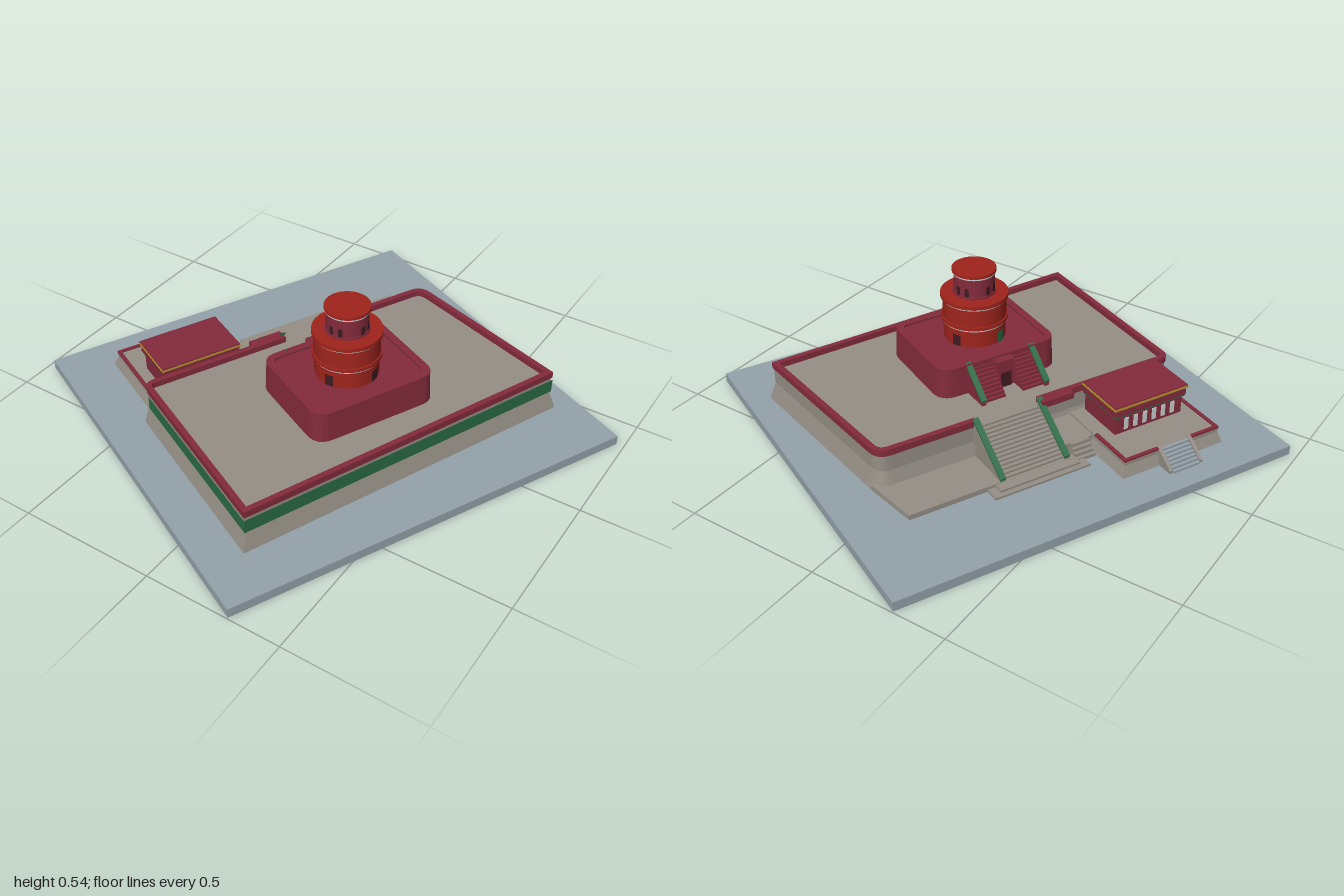
import * as THREE from 'three';

const mat = (name, color) => Object.assign(new THREE.MeshStandardMaterial({ color }), { name });
const M = {
  slate: mat('slate ground', 0x94a2aa), stone: mat('warm stone', 0x958f86),
  crimson: mat('crimson wall', 0x842b3c), red: mat('bright red', 0x9f241c),
  green: mat('green tile', 0x2b6b45), pale: mat('pale trim', 0xc9cfcd),
  gold: mat('gold trim', 0xb8922e), dark: mat('dark opening', 0x3f1a20),
};

export function createModel() {
  const root = new THREE.Group();
  root.name = 'terracedTemple';
  const g = new THREE.Group();
  g.name = 'compound';
  g.rotation.y = -0.4503;
  root.add(g);

  const add = (name, geo, material, x = 0, y = 0, z = 0) => {
    const m = new THREE.Mesh(geo, material);
    m.name = name;
    m.position.set(x, y, z);
    g.add(m);
    return m;
  };
  // box given by its limits
  const box = (name, m, x0, x1, y0, y1, z0, z1) =>
    add(name, new THREE.BoxGeometry(x1 - x0, y1 - y0, z1 - z0), m, (x0 + x1) / 2, (y0 + y1) / 2, (z0 + z1) / 2);
  // plan outlines are [x, z] lists
  const rect = (x0, x1, z0, z1, r = 0) => [[x0, z1, r], [x1, z1, r], [x1, z0, r], [x0, z0, r]];
  const fillet = (pts) => pts.flatMap(([x, z, r = 0], i) => {
    if (!r) return [[x, z]];
    const toward = (q) => {
      const d = Math.hypot(q[0] - x, q[1] - z);
      return new THREE.Vector2(x + (q[0] - x) * r / d, z + (q[1] - z) * r / d);
    };
    const a = toward(pts.at(i - 1)), b = toward(pts[(i + 1) % pts.length]);
    return new THREE.QuadraticBezierCurve(a, new THREE.Vector2(x, z), b).getPoints(6).map((p) => [p.x, p.y]);
  });
  // moves an outline outward by d
  const offset = (pts, d) => pts.map(([x, z], i) => {
    const p = pts.at(i - 1), q = pts[(i + 1) % pts.length];
    const n = (a, b) => {
      const l = Math.hypot(b[0] - a[0], b[1] - a[1]);
      return [-(b[1] - a[1]) / l, (b[0] - a[0]) / l];
    };
    const m = n(p, [x, z]), k = n([x, z], q);
    const s = d / (1 + m[0] * k[0] + m[1] * k[1]);
    return [x + (m[0] + k[0]) * s, z + (m[1] + k[1]) * s];
  });
  const v2 = (pts) => pts.map(([x, z]) => new THREE.Vector2(x, -z));
  const prism = (name, m, pts, y0, y1, hole) => {
    const s = new THREE.Shape(v2(pts));
    if (hole) s.holes.push(new THREE.Path(v2(hole)));
    const geo = new THREE.ExtrudeGeometry(s, { depth: y1 - y0, bevelEnabled: false });
    geo.rotateX(-Math.PI / 2);
    return add(name, geo, m, 0, y0, 0);
  };
  // wall skin between a lower and an upper outline
  const skin = (name, m, low, high, y0, y1, closed = true) => {
    const pos = [], n = low.length;
    for (let i = 0; i < (closed ? n : n - 1); i++) {
      const j = (i + 1) % n;
      const a = [low[i][0], y0, low[i][1]], b = [low[j][0], y0, low[j][1]];
      const c = [high[j][0], y1, high[j][1]], d = [high[i][0], y1, high[i][1]];
      pos.push(...a, ...b, ...c, ...a, ...c, ...d);
    }
    const geo = new THREE.BufferGeometry();
    geo.setAttribute('position', new THREE.Float32BufferAttribute(pos, 3));
    geo.computeVertexNormals();
    return add(name, geo, m);
  };
  // side profile in x/y, extruded along z
  const profile = (name, m, pts, z0, z1) => {
    const s = new THREE.Shape(pts.map(([x, y]) => new THREE.Vector2(x, y)));
    return add(name, new THREE.ExtrudeGeometry(s, { depth: z1 - z0, bevelEnabled: false }), m, 0, 0, z0);
  };
  const stairs = (name, m, x0, x1, y0, y1, z0, z1, n) => {
    const pts = [[x1, y0], [x1, y1]];
    for (let i = n; i > 0; i--) {
      const x = x0 + (x1 - x0) * (i - 1) / n;
      pts.push([x, y0 + (y1 - y0) * i / n], [x, y0 + (y1 - y0) * (i - 1) / n]);
    }
    profile(name, m, pts.slice(0, -1).concat([[x0, y0]]).reverse(), z0, z1);
  };
  // sloping balustrade: stone cheek with a coloured coping
  const rail = (name, x0, x1, y0, y1, z, base, h = 0.022) => {
    profile(name + 'Cheek', base, [[x0, y0], [x1, y0], [x1, y1 + h], [x0, y0 + h]], z - 0.009, z + 0.009);
    profile(name + 'Coping', M.green, [[x0, y0 + h], [x1, y1 + h], [x1, y1 + h + 0.008], [x0, y0 + h + 0.008]], z - 0.011, z + 0.011);
  };

  // ground slab
  box('groundSlab', M.slate, -0.712, 0.712, 0, 0.035, -0.762, 0.762);

  // main platform with battered foot, begins and ends at the stair gap
  const plan = fillet([[-0.225, 0.042], [-0.225, 0.6, 0.04], [0.522, 0.6], [0.46, -0.66], [-0.228, -0.572, 0.05], [-0.228, -0.204]]);
  const body = offset(plan, -0.004);
  skin('platformFoot', M.stone, offset(plan, 0.014), body, 0.035, 0.105);
  prism('platformBody', M.stone, body, 0.1, 0.168);
  const inner = offset(plan, -0.02);
  prism('platformParapet', M.crimson, [...plan, ...inner.slice().reverse()], 0.166, 0.19);
  const band = offset(plan, 0.001);
  const eastEnd = plan.findIndex((p) => p[1] < -0.65);
  skin('greenBand', M.green, band.slice(7, eastEnd + 1), band.slice(7, eastEnd + 1), 0.105, 0.156, false);

  // low bench behind
  prism('lowBench', M.stone, [[-0.405, -0.21], [-0.2, -0.21], [-0.2, -0.59], [-0.405, -0.552]], 0.03, 0.054);

  // grand stair
  stairs('grandStair', M.stone, -0.42, -0.222, 0.035, 0.168, -0.2, 0.04, 16);
  box('lowerStep', M.stone, -0.458, -0.39, 0.035, 0.043, -0.265, 0.105);
  box('upperStep', M.stone, -0.44, -0.39, 0.035, 0.051, -0.235, 0.075);
  for (const z of [-0.206, 0.044]) rail('grandRail', -0.405, -0.222, 0.035, 0.168, z, M.stone);

  // link between stair and side terrace
  box('linkCourt', M.stone, -0.37, -0.22, 0.035, 0.085, 0.05, 0.175);
  box('linkWall', M.crimson, -0.25, -0.226, 0.166, 0.19, 0.042, 0.17);
  stairs('linkSteps', M.stone, -0.42, -0.37, 0.035, 0.085, 0.075, 0.15, 4);

  // side terrace
  const terrace = rect(-0.56, -0.22, 0.17, 0.56);
  skin('terraceFoot', M.stone, offset(terrace, 0.014), terrace, 0.035, 0.075);
  prism('terraceBody', M.stone, terrace, 0.07, 0.092);
  const edge = (x0, x1, z0, z1) => box('terraceEdge', M.crimson, x0, x1, 0.09, 0.098, z0, z1);
  edge(-0.562, -0.225, 0.55, 0.562);
  edge(-0.562, -0.385, 0.168, 0.18);
  edge(-0.562, -0.55, 0.17, 0.31);
  edge(-0.562, -0.55, 0.44, 0.56);
  stairs('terraceStair', M.slate, -0.635, -0.555, 0.035, 0.092, 0.32, 0.43, 7);
  for (const z of [0.312, 0.438]) profile('terraceStairCheek', M.stone, [[-0.63, 0.035], [-0.555, 0.035], [-0.555, 0.102], [-0.63, 0.045]], z - 0.006, z + 0.006);

  // side hall
  box('hallBody', M.crimson, -0.418, -0.235, 0.09, 0.2, 0.228, 0.508);
  box('hallCornice', M.green, -0.424, -0.23, 0.16, 0.167, 0.222, 0.514);
  box('hallFrieze', M.crimson, -0.427, -0.23, 0.167, 0.198, 0.219, 0.517);
  box('hallGoldEdge', M.gold, -0.432, -0.23, 0.197, 0.205, 0.214, 0.522);
  box('hallRoof', M.crimson, -0.43, -0.232, 0.204, 0.21, 0.216, 0.52);
  for (let i = 0; i < 6; i++) {
    const z = 0.272 + i * 0.039;
    box('hallWindow', M.pale, -0.422, -0.415, 0.105, 0.15, z - 0.008, z + 0.008);
  }

  // upper tier
  const tier = fillet(rect(-0.035, 0.345, -0.235, 0.235, 0.06));
  skin('tierWall', M.crimson, offset(tier, 0.005), tier, 0.167, 0.268);
  prism('tierBody', M.crimson, tier, 0.2, 0.272);
  prism('tierRim', M.crimson, tier, 0.27, 0.28, offset(tier, -0.028));

  // tier stair in two flights around a doorway
  stairs('tierFlight', M.crimson, -0.125, -0.02, 0.167, 0.272, -0.115, -0.03, 10);
  stairs('tierFlight', M.crimson, -0.125, -0.02, 0.167, 0.272, 0.04, 0.122, 10);
  box('doorLanding', M.crimson, -0.065, -0.03, 0.167, 0.272, -0.03, 0.04);
  box('tierDoor', M.dark, -0.069, -0.064, 0.168, 0.225, -0.015, 0.025);
  for (const z of [-0.123, 0.13]) rail('tierRail', -0.137, -0.025, 0.167, 0.262, z, M.crimson, 0.014);

  // round tower: [name, material, radius, bottom, top]
  const cx = 0.159, cz = 0.007;
  [
    ['towerLower', M.red, 0.111, 0.27, 0.345], ['towerLowerTrim', M.pale, 0.116, 0.338, 0.344],
    ['towerLowerRing', M.red, 0.12, 0.344, 0.356], ['towerMiddle', M.red, 0.114, 0.35, 0.432],
    ['towerMiddleTrim', M.pale, 0.116, 0.422, 0.426], ['towerMiddleRing', M.red, 0.121, 0.428, 0.442],
    ['towerUpper', M.crimson, 0.073, 0.44, 0.528], ['towerUpperBand', M.crimson, 0.078, 0.446, 0.453],
    ['towerUpperTrim', M.pale, 0.077, 0.52, 0.526], ['towerCap', M.red, 0.079, 0.526, 0.536],
  ].forEach(([name, m, r, y0, y1]) =>
    add(name, new THREE.CylinderGeometry(r, r, y1 - y0, 48), m, cx, (y0 + y1) / 2, cz));

  // tower openings as thin curved plates
  const opening = (name, m, r, y0, y1, angle, w) =>
    add(name, new THREE.CylinderGeometry(r, r, y1 - y0, 6, 1, true, angle - w / 2, w), m, cx, (y0 + y1) / 2, cz);
  for (let i = 0; i < 4; i++) {
    const a = 0.45 + i * Math.PI / 2;
    opening('towerDoor', i === 3 ? M.green : M.dark, 0.1125, 0.272, 0.315, a, 0.3);
    for (const s of [-0.24, 0.24]) opening('towerWindow', M.dark, 0.0745, 0.453, 0.485, a + s, 0.22);
  }
  return root;
}
